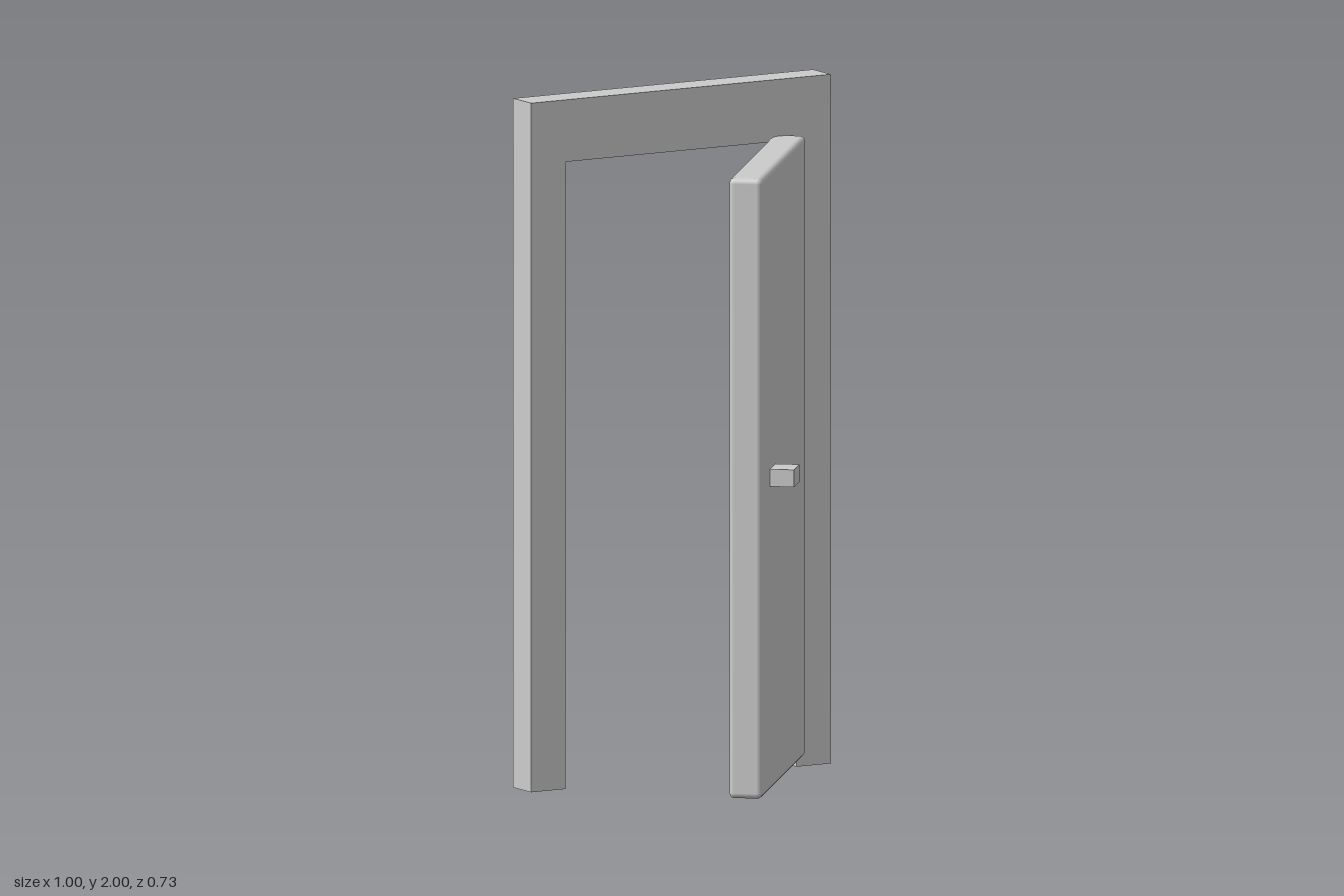
import * as THREE from 'three';
import { RoundedBoxGeometry } from 'three/addons/geometries/RoundedBoxGeometry.js';

const material = new THREE.MeshStandardMaterial({ color: 0xcccccc });

function addMesh(parent, name, geometry, x, y, z) {
  const mesh = new THREE.Mesh(geometry, material);
  mesh.name = name;
  mesh.position.set(x, y, z);
  parent.add(mesh);
  return mesh;
}

// Two posts and a lintel cut as one outline
function frameGeometry() {
  const outline = [
    [-0.5, 0], [-0.385, 0], [-0.385, 1.82], [0.385, 1.82],
    [0.385, 0], [0.5, 0], [0.5, 2], [-0.5, 2],
  ].map(([x, y]) => new THREE.Vector2(x, y));
  return new THREE.ExtrudeGeometry(new THREE.Shape(outline), { depth: 0.1, bevelEnabled: false });
}

export function createModel() {
  const model = new THREE.Group();
  model.name = 'doorway';

  addMesh(model, 'doorFrame', frameGeometry(), 0, 0, -0.366);

  // Open door, swung out from the left post
  const door = new THREE.Group();
  door.name = 'door';
  door.position.set(0.11, 0, 0.032);
  door.rotation.y = THREE.MathUtils.degToRad(50);
  model.add(door);

  addMesh(door, 'doorPanel', new RoundedBoxGeometry(0.795, 1.8, 0.096, 3, 0.016), 0, 0.935, 0);

  // Square handle on the front face, its base sunk into the panel
  addMesh(door, 'doorHandle', new THREE.BoxGeometry(0.098, 0.05, 0.1), -0.202, 0.945, 0.068);

  return model;
}
